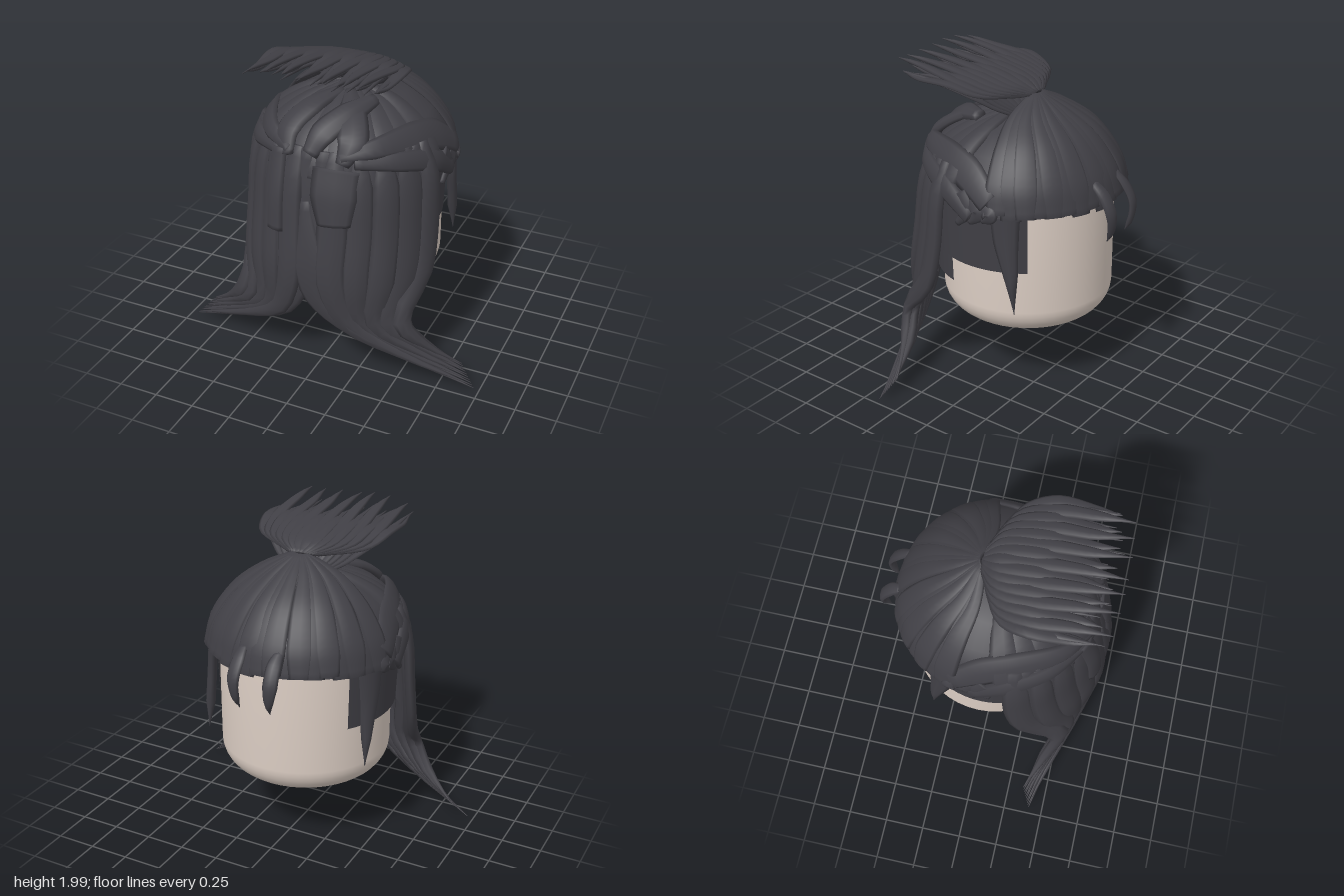
import * as THREE from 'three';

const hair = new THREE.MeshStandardMaterial({ color: 0x403f45, side: THREE.DoubleSide });
hair.name = 'charcoal hair';
const skin = new THREE.MeshStandardMaterial({ color: 0xdaccc2 });
skin.name = 'pale skin';

const lerp = THREE.MathUtils.lerp;
const V = (p) => new THREE.Vector3(...p);

// Small repeatable wobble in -1..1
let seed = 7;
function wobble() {
  seed = (seed * 16807) % 2147483647;
  return (seed / 2147483647) * 2 - 1;
}

// Outward direction on the head: radial low down, spherical on the crown
const fromHead = (p) => new THREE.Vector3(p.x, Math.max(0, p.y - 1.15), p.z);
const upward = () => new THREE.Vector3(0, 1, 0);

// Lock of hair: flattened oval swept along a curve, half widths given along it
function lockGeometry(points, widths, thick, outward = fromHead, steps = 18) {
  const curve = new THREE.CatmullRomCurve3(points.map(V));
  const sides = 8, pos = [], idx = [];
  for (let i = -1; i <= steps + 1; i++) {
    const t = THREE.MathUtils.clamp(i / steps, 0, 1);
    const p = curve.getPoint(t), T = curve.getTangent(t);
    const side = T.clone().cross(outward(p)).normalize();
    const n = side.clone().cross(T).normalize();
    const k = t * (widths.length - 1), a = Math.min(Math.floor(k), widths.length - 2);
    const closed = i < 0 || i > steps;
    const w = closed ? 0 : Math.max(0.002, lerp(widths[a], widths[a + 1], k - a));
    const h = closed ? 0 : Math.min(thick, w);
    for (let j = 0; j < sides; j++) {
      const ang = (j / sides) * Math.PI * 2;
      const q = p.clone().addScaledVector(side, Math.cos(ang) * w).addScaledVector(n, Math.sin(ang) * h);
      pos.push(q.x, q.y, q.z);
    }
  }
  for (let i = 0; i < steps + 2; i++) {
    for (let j = 0; j < sides; j++) {
      const a = i * sides + j, b = i * sides + ((j + 1) % sides);
      idx.push(a, a + sides, b, b, a + sides, b + sides);
    }
  }
  const g = new THREE.BufferGeometry();
  g.setAttribute('position', new THREE.Float32BufferAttribute(pos, 3));
  g.setIndex(idx);
  g.computeVertexNormals();
  return g;
}

export function createModel() {
  const model = new THREE.Group();
  const add = (name, geometry, material = hair) => {
    const m = new THREE.Mesh(geometry, material);
    m.name = name;
    model.add(m);
    return m;
  };
  const lock = (name, ...args) => add(name, lockGeometry(...args));
  const shell = (name, profile, start, length, material) =>
    add(name, new THREE.LatheGeometry(profile.map((p) => new THREE.Vector2(...p)), 48, start, length), material);

  // Head: rounded cylinder, set slightly towards the face
  const profile = [[0, 0.44], [0.355, 0.44]];
  for (let i = 1; i <= 8; i++) {
    const a = (i / 8) * Math.PI / 2;
    profile.push([0.355 + 0.172 * Math.sin(a), 0.612 - 0.172 * Math.cos(a)]);
  }
  profile.push([0.527, 1.35], [0.48, 1.47], [0.34, 1.57], [0, 1.64]);
  shell('head', profile, 0, Math.PI * 2, skin).position.z = -0.028;

  // Scalp cap with its stepped lower edge
  shell('scalpCap', [[0.565, 1.24], [0.565, 1.33], [0.535, 1.44], [0.45, 1.55], [0.3, 1.645], [0.12, 1.695], [0, 1.705]], 0, Math.PI * 2);
  shell('sideHair', [[0.545, 0.88], [0.56, 1.25]], -2.22, 4.44);
  shell('lowerHair', [[0.545, 0.73], [0.55, 0.89]], -1.29, 2.58);
  shell('longHairLining', [[0.59, 0.75], [0.6, 0.9], [0.58, 1.25], [0.53, 1.45]], -1.1, 2.2);

  // Fringe: smooth shell with overlapping locks fanning down from the knot
  shell('fringeShell', [[0.615, 1.26], [0.59, 1.38], [0.52, 1.52], [0.41, 1.63], [0.25, 1.715], [0, 1.76]], 1.9, 2.48);
  for (let i = 0; i < 19; i++) {
    const a = 1.93 + (i / 18) * 2.42, s = Math.sin(a), c = Math.cos(a);
    const r = 0.005 * wobble();
    lock('fringeLock', [
      [0.05 * s, 1.82, -0.08 + 0.03 * c], [0.26 * s, 1.73 + r, 0.27 * c], [(0.445 + r) * s, 1.6 + r, (0.445 + r) * c],
      [(0.575 + r) * s, 1.42, (0.575 + r) * c], [(0.62 + r) * s, 1.26 + 0.02 * wobble(), (0.62 + r) * c],
    ], [0.025, 0.04, 0.065, 0.08, 0.06], 0.013);
  }

  // Crown locks combed forward
  for (let i = 0; i < 11; i++) {
    const a = -1.3 + i * 0.26, s = Math.sin(a), c = Math.cos(a);
    lock('crownLock', [
      [0.03 * s, 1.7, 0.04], [0.27 * s, 1.645, 0.27 * c], [0.45 * s, 1.54, 0.46 * c],
      [0.55 * s, 1.41, 0.56 * c], [0.58 * s, 1.32, 0.59 * c],
    ], [0.03, 0.06, 0.09, 0.09, 0.05], 0.025 + 0.008 * wobble());
  }

  for (const s of [-1, 1]) {
    // Long locks, gathered below and swept out to the side
    for (let i = 0; i < 10; i++) {
      const f = i / 9, a = 0.1 + f * 1.1, x = Math.sin(a), z = Math.cos(a);
      const w = 0.95 + 0.15 * wobble(), r = (i % 2 ? 0.01 : -0.01) + 0.008 * wobble();
      lock('longLock', [
        [s * 0.53 * x, 1.48, 0.54 * z],
        [s * (0.59 + r) * x, 1.3, (0.595 + r) * z],
        [s * (0.61 + r) * x, 1.0, (0.64 + r) * z + 0.01 * f],
        [s * (0.605 + r) * x, 0.7, (0.665 + r) * z + 0.07 * f],
        [s * lerp(0.19, 0.53, f), 0.43 + 0.01 * f, lerp(0.63, 0.5, f) + r],
        [s * lerp(0.5, 0.66, f), lerp(0.22, 0.265, f), lerp(0.53, 0.43, f) + r],
        [s * (0.96 - 0.1 * f), 0.012 + 0.11 * f, 0.41 - 0.06 * f],
      ], [0.05, 0.085, 0.095, 0.095, 0.075, 0.03, 0].map((v) => v * w), 0.033);
    }

    // Bands drawn back over the temples, ending in ragged tips
    lock('templeBand', [
      [s * 0.16, 1.47, 0.57], [s * 0.33, 1.515, 0.45], [s * 0.46, 1.51, 0.22], [s * 0.525, 1.455, 0.02], [s * 0.58, 1.34, -0.16],
    ], [0.03, 0.06, 0.09, 0.1, 0.07], 0.024);
    lock('templeBand', [
      [s * 0.24, 1.44, 0.55], [s * 0.44, 1.43, 0.39], [s * 0.565, 1.36, 0.16], [s * 0.6, 1.23, -0.04],
    ], [0.03, 0.06, 0.07, 0.05], 0.024);
    for (let i = 0; i < 3; i++) {
      lock('templeTip', [
        [s * 0.58, 1.36 - 0.03 * i, 0.04 - 0.08 * i], [s * 0.595, 1.27, -0.02 - 0.08 * i], [s * 0.585, 1.16 + 0.03 * i, 0.06 - 0.09 * i],
      ], [0.05, 0.05, 0.02], 0.015);
    }

    // Curled lobes on the brow
    lock('browLobe', [
      [s * 0.03, 1.68, 0.14], [s * 0.13, 1.645, 0.34], [s * 0.2, 1.55, 0.49], [s * 0.17, 1.43, 0.57],
    ], [0.04, 0.085, 0.09, 0.04], 0.032);

    // Pointed sideburn
    lock('sideburn', [
      [s * 0.53, 1.28, -0.24], [s * 0.535, 1.1, -0.25], [s * 0.535, 0.9, -0.28], [s * 0.54, 0.65, -0.31],
    ], [0.09, 0.075, 0.045, 0], 0.03);

    // Small loose tuft over the fringe
    lock('looseTuft', [
      [s * 0.115, 1.4, -0.57], [s * 0.115, 1.34, -0.64], [s * 0.12, 1.24, -0.695], [s * 0.11, 1.14, -0.695], [s * 0.1, 1.05, -0.66],
    ], [0.03, 0.045, 0.045, 0.03, 0], 0.018);
  }

  // Diagonal lock crossing the brow
  lock('crossingLock', [[-0.03, 1.46, 0.57], [0.02, 1.57, 0.5], [0.12, 1.65, 0.36], [0.2, 1.68, 0.18]], [0.05, 0.08, 0.08, 0.04], 0.032);

  // Loose locks lying over the long hair
  lock('bluntLock', [[-0.23, 1.46, 0.55], [-0.23, 1.2, 0.62], [-0.23, 0.97, 0.645]], [0.06, 0.065, 0.065], 0.025);
  lock('bluntLock', [[0.14, 1.4, 0.57], [0.14, 1.24, 0.615], [0.15, 1.07, 0.64]], [0.14, 0.14, 0.1], 0.03);
  lock('wavyLock', [
    [-0.04, 1.18, 0.61], [-0.01, 0.98, 0.65], [0.02, 0.78, 0.67], [0.06, 0.6, 0.665], [0.22, 0.41, 0.63], [0.5, 0.22, 0.54],
  ], [0.035, 0.07, 0.13, 0.11, 0.06, 0.02], 0.035);

  // Knot at the crown
  const knot = add('hairKnot', new THREE.SphereGeometry(0.08, 20, 14));
  knot.scale.set(1.3, 0.7, 0.7);
  knot.position.set(0, 1.75, -0.06);

  // Topknot fan: upper strands ending in spikes
  for (let i = 0; i < 15; i++) {
    const u = (i / 14) * 2 - 1, e = u * u;
    const y = 1.95 - 0.02 * e + (i % 2 ? 0.02 : -0.02) + 0.012 * wobble();
    lock('topknotStrand', [
      [0.11 * u, 1.825, -0.09 + 0.04 * e], [0.33 * u, 1.875 - 0.015 * e, 0.0 + 0.09 * e],
      [0.39 * u, 1.93 - 0.02 * e, 0.25], [0.385 * u, y - 0.005, 0.48], [0.395 * u + 0.015 * wobble(), y + 0.015, (i % 2 ? 0.71 : 0.64) - 0.03 * e],
    ], [0.022, 0.045, 0.045, 0.034, 0], 0.013, upward);
  }
  // Lower strands forming the cup beneath the fan
  for (let i = 0; i < 11; i++) {
    const u = (i / 10) * 2 - 1;
    lock('topknotUnderside', [
      [0.12 * u, 1.7, 0.01], [0.21 * u, 1.755, 0.07], [0.31 * u, 1.84, 0.17],
      [0.37 * u, 1.895, 0.32], [0.39 * u, 1.91 + 0.015 * wobble(), 0.64 + 0.06 * wobble()],
    ], [0.03, 0.045, 0.05, 0.03, 0], 0.012, upward);
  }
  return model;
}
